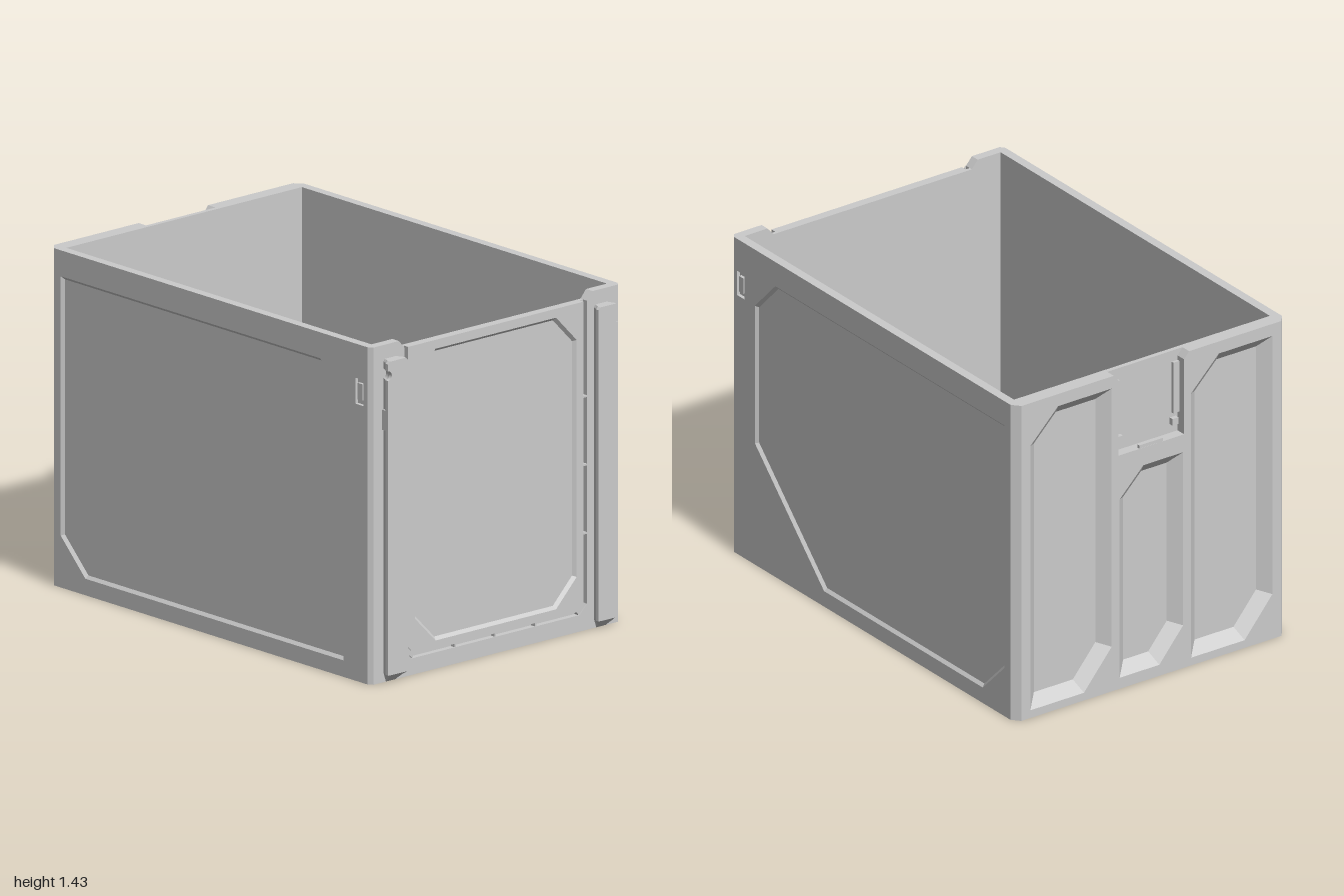
import * as THREE from 'three';

const material = new THREE.MeshStandardMaterial({ color: 0xcccccc, flatShading: true });
const H = 1.43;

function add(parent, name, geometry) {
  const mesh = new THREE.Mesh(geometry, material);
  mesh.name = name;
  parent.add(mesh);
  return mesh;
}

// box given by its min and max corners
function box(parent, name, [x0, y0, z0], [x1, y1, z1]) {
  const g = new THREE.BoxGeometry(x1 - x0, y1 - y0, z1 - z0);
  return add(parent, name, g.translate((x0 + x1) / 2, (y0 + y1) / 2, (z0 + z1) / 2));
}

const toVectors = (pts) => {
  const v = pts.map(([x, y]) => new THREE.Vector2(x, y));
  return THREE.ShapeUtils.isClockWise(v) ? v.reverse() : v;
};

// flat plate with holes, from depth z0 to z1
function plate(parent, name, outline, holes, z0, z1) {
  const shape = new THREE.Shape(toVectors(outline));
  for (const h of holes) shape.holes.push(new THREE.Path(toVectors(h)));
  const g = new THREE.ExtrudeGeometry(shape, { depth: z1 - z0, bevelEnabled: false });
  return add(parent, name, g.translate(0, 0, z0));
}

// move every edge of a convex outline inward by w
function inset(pts, w) {
  const n = pts.length;
  return pts.map((p, i) => {
    const d0 = p.clone().sub(pts[(i + n - 1) % n]).normalize();
    const d1 = pts[(i + 1) % n].clone().sub(p).normalize();
    const n0 = new THREE.Vector2(-d0.y, d0.x), n1 = new THREE.Vector2(-d1.y, d1.x);
    return n0.clone().add(n1).multiplyScalar(w / (1 + n0.dot(n1))).add(p);
  });
}

// sunken panel: sloped rim and flat floor
function recess(parent, name, outline, z, slope, depth) {
  const outer = toVectors(outline), inner = inset(outer, slope), pos = [];
  outer.forEach((a, i) => {
    const j = (i + 1) % outer.length, b = outer[j], c = inner[j], d = inner[i];
    pos.push(a.x, a.y, z, b.x, b.y, z, c.x, c.y, z - depth);
    pos.push(a.x, a.y, z, c.x, c.y, z - depth, d.x, d.y, z - depth);
  });
  const rim = new THREE.BufferGeometry();
  rim.setAttribute('position', new THREE.Float32BufferAttribute(pos, 3));
  rim.computeVertexNormals();
  add(parent, name + 'Rim', rim);
  add(parent, name + 'Floor', new THREE.ShapeGeometry(new THREE.Shape(inner)).translate(0, 0, z - depth));
}

const rect = (x0, y0, x1, y1) => [[x0, y0], [x1, y0], [x1, y1], [x0, y1]];
const mirrored = (half) => [...half, ...half.map(([x, y]) => [-x, y]).reverse()];

function wallGroup(root, name, angle) {
  const g = new THREE.Group();
  g.name = name;
  g.rotation.y = angle;
  root.add(g);
  return g;
}

function buildSide(root, s) {
  const wall = wallGroup(root, s > 0 ? 'leftWall' : 'rightWall', s * Math.PI / 2);
  const flip = (pts) => pts.map(([z, y]) => [-s * z, y]);
  const lowerFront = s > 0 ? [[0.315, 0.07], [0.79, 0.55]] : [[0.79, 0.07]];
  const panel = flip([[0.79, 1.175], [0.65, 1.32], [-0.925, 1.32], [-0.925, 0.22], [-0.775, 0.07], ...lowerFront]);
  const slot = flip(rect(0.862, 1.175, 0.912, 1.285));
  plate(wall, 'sideCore', flip(rect(-0.945, 0, 0.93, H)), [], 0.645, 0.67);
  plate(wall, 'sideSkin', flip(rect(-0.965, 0, 0.935, H)), [panel, slot], 0.67, 0.685);
  recess(wall, 'sidePanel', panel, 0.685, 0.013, 0.012);
  plate(wall, 'slotBar', flip(rect(0.872, 1.195, 0.902, 1.265)), [], 0.67, 0.683);
}

function buildFront(root) {
  const wall = wallGroup(root, 'frontWall', 0);
  const top = 1.395;
  // wall with a lowered top between the posts
  plate(wall, 'frontCore', mirrored([[0.67, 0], [0.67, H], [0.53, H], [0.5, top]]), [], 0.915, 0.93);
  plate(wall, 'frontFrame', mirrored([[0.67, 0], [0.67, H], [0.53, H], [0.5, top], [0.5, 0.11], [0.46, 0.07]]), [], 0.93, 0.955);
  // door plate, separated from the frame by a groove
  const panel = mirrored([[0.33, 0.12], [0.443, 0.235], [0.443, 1.24], [0.33, 1.357]]);
  plate(wall, 'door', mirrored([[0.445, 0.085], [0.48, 0.12], [0.48, top]]), [panel], 0.93, 0.955);
  recess(wall, 'doorPanel', panel, 0.955, 0.013, 0.014);
  // small bridges across the groove
  for (const s of [-1, 1]) {
    for (const y of [0.41, 0.7, 0.99])
      box(wall, 'grooveBridge', [s * 0.49 - 0.012, y - 0.004, 0.93], [s * 0.49 + 0.012, y + 0.004, 0.953]);
    plate(wall, 'grooveCorner', [[s * 0.455, 0.07], [s * 0.5, 0.11], [s * 0.48, 0.12], [s * 0.445, 0.085]], [], 0.93, 0.952);
  }
  for (const x of [-0.22, 0, 0.22]) box(wall, 'grooveBridge', [x - 0.004, 0.068, 0.93], [x + 0.004, 0.087, 0.953]);
}

function buildBack(root) {
  const wall = wallGroup(root, 'backWall', Math.PI);
  const pocket = (x0, x1, y0, y1, c) =>
    [[x0, y0], [x1 - c, y0], [x1, y0 + c * 1.2], [x1, y1], [x0 + c, y1], [x0, y1 - c]];
  const pockets = [
    pocket(-0.61, -0.2, 0.035, 1.375, 0.14),
    pocket(-0.16, 0.16, 0.05, 0.98, 0.12),
    pocket(0.2, 0.61, 0.035, 1.375, 0.14),
  ];
  plate(wall, 'backCore', rect(-0.67, 0, 0.67, H), [], 0.935, 0.955);
  const outline = mirrored([[0.655, 0], [0.655, H], [0.19, H], [0.165, 1.4], [0.165, 1.06]]);
  plate(wall, 'backSkin', outline, pockets, 0.955, 1);
  for (const p of pockets) recess(wall, 'backPocket', p, 1, 0.05, 0.0445);
  // latch bay details
  box(wall, 'latchTab', [-0.06, 1.045, 0.985], [0.06, 1.075, 0.999]);
  for (const s of [-1, 1]) {
    box(wall, 'latchGuide', [s * 0.15 - 0.015, 1.15, 0.955], [s * 0.15 + 0.015, 1.38, 0.967]);
    box(wall, 'latchStud', [s * 0.14 - 0.015, 1.1, 0.955], [s * 0.14 + 0.015, 1.13, 0.975]);
  }
}

// chamfered vertical corner
function buildCorner(root, name, pts) {
  const post = plate(root, name, pts.map(([x, z]) => [x, -z]), [], 0, H);
  post.rotation.x = -Math.PI / 2;
}

// flared rail with a thumb notch and a sloped foot
function buildRail(root, s) {
  const rail = new THREE.Group();
  rail.name = s > 0 ? 'leftRail' : 'rightRail';
  rail.scale.x = s;
  root.add(rail);
  const shape = new THREE.Shape();
  shape.moveTo(0.54, 0).lineTo(0.612, 0).lineTo(0.63, 0.04).lineTo(0.63, 1.29);
  shape.absarc(0.63, 1.31, 0.02, -Math.PI / 2, Math.PI / 2, true);
  shape.lineTo(0.63, 1.36).lineTo(0.62, 1.37).lineTo(0.532, 1.37).lineTo(0.522, 1.36).lineTo(0.522, 0.04);
  const g = new THREE.ExtrudeGeometry(shape, { depth: 0.045, steps: 3, bevelEnabled: false, curveSegments: 8 });
  const p = g.attributes.position;
  for (let i = 0; i < p.count; i++) {
    const t = p.getZ(i) / 0.045;
    // narrow the neck towards the wall, lift the foot towards the front
    const k = t > 0.6 ? 1 : 0.72 + 0.28 * t;
    p.setX(i, 0.576 + (p.getX(i) - 0.576) * k);
    if (p.getY(i) < 0.001) p.setY(i, 0.039 * t);
  }
  g.computeVertexNormals();
  add(rail, 'rail', g.translate(0, 0, 0.955));
  box(rail, 'railClip', [0.6, 1.075, 0.962], [0.629, 1.16, 0.995]);
}

export function createModel() {
  const root = new THREE.Group();
  root.name = 'openContainer';
  box(root, 'floor', [-0.67, 0, -0.955], [0.67, 0.04, 0.93]);
  buildFront(root);
  buildBack(root);
  for (const s of [-1, 1]) {
    buildSide(root, s);
    buildRail(root, s);
    buildCorner(root, 'frontCorner', [[s * 0.66, 0.92], [s * 0.685, 0.935], [s * 0.67, 0.955]]);
    buildCorner(root, 'backCorner', [[s * 0.65, -0.94], [s * 0.655, -1], [s * 0.685, -0.965], [s * 0.67, -0.94]]);
  }
  return root;
}
